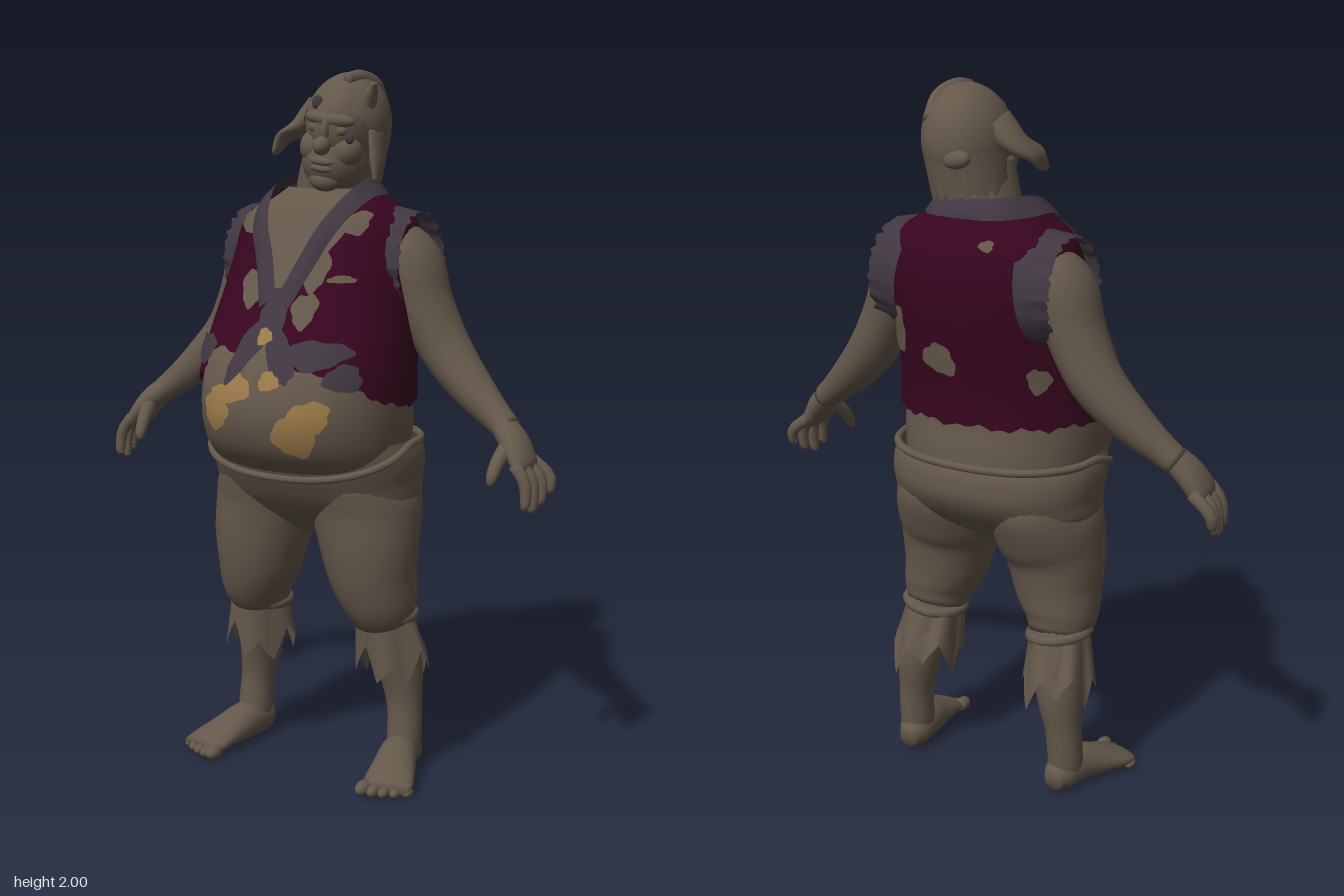
import * as THREE from 'three';
import { mergeVertices } from 'three/addons/utils/BufferGeometryUtils.js';

const V = (x, y, z) => new THREE.Vector3(x, y, z);
const mat = (name, color) => new THREE.MeshStandardMaterial({ name, color, side: THREE.DoubleSide });
const jag = (a) => 0.5 * Math.sin(17 * a + 1) + 0.5 * Math.sin(41 * a);
const TAU = Math.PI * 2;

// Smooth grid surface from a rule fn(u, v); outward is du x dv
function surface(fn, nu, nv) {
  const pos = [], idx = [];
  for (let j = 0; j <= nv; j++) for (let i = 0; i <= nu; i++) pos.push(...fn(i / nu, j / nv).toArray());
  for (let j = 0; j < nv; j++) for (let i = 0; i < nu; i++) {
    const a = j * (nu + 1) + i, b = a + 1, c = a + nu + 1, d = c + 1;
    idx.push(a, b, c, b, d, c);
  }
  let g = new THREE.BufferGeometry();
  g.setAttribute('position', new THREE.Float32BufferAttribute(pos, 3));
  g.setIndex(idx);
  g = mergeVertices(g, 1e-5);
  g.computeVertexNormals();
  return g;
}

// Capped limb through stations [x, y, z, radius across, radius along ref]
function limb(st, side = 1, ref = V(0, 0, 1), nu = 20, nv = 22) {
  const path = new THREE.CatmullRomCurve3(st.map((s) => V(s[0] * side, s[1], s[2])));
  const rad = new THREE.CatmullRomCurve3(st.map((s) => V(s[3], s[4], 0)));
  return surface((u, v) => {
    const t = THREE.MathUtils.clamp((v * nv - 1) / (nv - 2), 0, 1);
    const c = path.getPoint(t);
    if (v === 0 || v === 1) return c;
    const T = path.getTangent(t), r = rad.getPoint(t), f = (u % 1) * TAU;
    const B = ref.clone().addScaledVector(T, -ref.dot(T)).normalize();
    const A = B.clone().cross(T);
    return c.addScaledVector(A, Math.cos(f) * r.x).addScaledVector(B, Math.sin(f) * r.y);
  }, nu, nv);
}

// Cross-sections: y, half width, front z, back z, z of the widest point
const TORSO = [
  [0.88, 0.22, 0.14, -0.22, 0], [0.92, 0.26, 0.2, -0.245, 0], [0.96, 0.28, 0.25, -0.26, 0], [1.02, 0.288, 0.285, -0.26, 0.01],
  [1.1, 0.29, 0.3, -0.25, 0.01], [1.2, 0.285, 0.275, -0.255, 0], [1.3, 0.276, 0.22, -0.27, -0.03],
  [1.4, 0.266, 0.165, -0.285, -0.08], [1.5, 0.255, 0.115, -0.29, -0.11], [1.57, 0.245, 0.08, -0.278, -0.12],
  [1.61, 0.22, 0.06, -0.262, -0.12], [1.64, 0.17, 0.04, -0.248, -0.12], [1.68, 0.11, 0.0, -0.22, -0.11]];
const HIPS = [
  [0.7, 0.03, 0.0, -0.07, -0.04], [0.73, 0.12, 0.05, -0.12, -0.04], [0.8, 0.285, 0.125, -0.22, -0.05], [0.88, 0.305, 0.18, -0.28, -0.05],
  [0.95, 0.308, 0.21, -0.285, -0.04], [1.0, 0.293, 0.225, -0.266, -0.03]];

// Cubic blend between cross-sections
function section(S, y) {
  let i = 0;
  while (i < S.length - 2 && y > S[i + 1][0]) i++;
  const a = S[i], b = S[i + 1], p = S[Math.max(i - 1, 0)], q = S[Math.min(i + 2, S.length - 1)];
  const h = b[0] - a[0], t = THREE.MathUtils.clamp((y - a[0]) / h, 0, 1);
  return [1, 2, 3, 4].map((k) => {
    const m0 = (b[k] - p[k]) / (b[0] - p[0]) * h, m1 = (q[k] - a[k]) / (q[0] - a[0]) * h;
    const t2 = t * t, t3 = t2 * t;
    return (2 * t3 - 3 * t2 + 1) * a[k] + (t3 - 2 * t2 + t) * m0 + (3 * t2 - 2 * t3) * b[k] + (t3 - t2) * m1;
  });
}
const POW = 0.87;
function around(S, ang, y, off = 0) {
  const [rx, zf, zb, cz] = section(S, y), s = Math.sin(ang), c = Math.cos(ang);
  const depth = (c > 0 ? zf - cz : cz - zb) + off;
  return V((rx + off) * Math.sign(s) * Math.abs(s) ** POW, y, cz + depth * Math.sign(c) * Math.abs(c) ** POW);
}
// Point on the torso at a given x and y; face is 1 for front, -1 for back
function onTorso(x, y, off, face = 1) {
  const s = Math.min(1, Math.abs(x) / (section(TORSO, y)[0] + off)) ** (1 / POW);
  const ang = Math.asin(s) * Math.sign(x);
  return around(TORSO, face > 0 ? ang : Math.PI - ang, y, off);
}

// Irregular thin plate lying on the torso
function patch(x, y, a, b, rot, off, face = 1) {
  const seed = x * 37 + y * 11;
  return surface((u, v) => {
    const f = face * (u % 1) * TAU;
    const r = (1 - v) * (1 + 0.12 * Math.sin(3 * f + seed) + 0.06 * Math.sin(7 * f + 2 * seed));
    const p = r * a * Math.cos(f), q = r * b * Math.sin(f);
    return onTorso(x + p * Math.cos(rot) - q * Math.sin(rot), y + p * Math.sin(rot) + q * Math.cos(rot), off, face);
  }, 32, 6);
}

export function createModel() {
  const brown = mat('weathered brown', 0x65584b), maroon = mat('maroon cloth', 0x38051f);
  const slate = mat('slate trim', 0x403740), tan = mat('tan blotch', 0x9c7a4a);
  const model = new THREE.Group();
  const add = (name, geo, m = brown, parent = model) => {
    const mesh = new THREE.Mesh(geo, m);
    mesh.name = name;
    parent.add(mesh);
    return mesh;
  };
  const ball = (name, parent, p, s, m = brown) => {
    const mesh = add(name, new THREE.SphereGeometry(1, 20, 14), m, parent);
    mesh.position.set(...p);
    mesh.scale.set(...s);
  };

  // Torso, trousers seat and waistband
  add('torso', surface((u, v) => around(TORSO, (u % 1) * TAU, 0.88 + 0.8 * v), 56, 48));
  add('trouserSeat', surface((u, v) => around(HIPS, (u % 1) * TAU, 0.7 + 0.295 * v), 48, 20));
  const band = [];
  for (let i = 0; i < 28; i++) {
    const a = i / 28 * TAU;
    band.push(around(HIPS, a, 0.985 - 0.085 * Math.max(0, Math.cos(a)), 0.002));
  }
  add('waistband', new THREE.TubeGeometry(new THREE.CatmullRomCurve3(band, true), 80, 0.011, 8, true));

  // Sleeveless vest with an open neck and a ragged hem
  add('vest', surface((u, v) => {
    const hem = 1.1 + 0.13 * Math.max(0, Math.cos(u * TAU)) ** 1.3 + 0.01 * jag(u * 5);
    const y = hem + (1.67 - hem) * v, half = Math.max(0, y - 1.4) * 3.2;
    return around(TORSO, half + u * (TAU - 2 * half), y, 0.012);
  }, 110, 40), maroon);

  // Worn holes, cloth patches and belly blotches: x, y, half sizes, turn, face
  [[-0.165, 1.59, 0.035, 0.035, 0.3], [0.165, 1.595, 0.035, 0.03, 0], [0.09, 1.48, 0.04, 0.06, 0.2], [-0.085, 1.42, 0.04, 0.05, 0],
    [0.09, 1.37, 0.035, 0.045, 0], [0.165, 1.45, 0.035, 0.01, 0], [-0.13, 1.21, 0.07, 0.05, 0.3], [0.0, 1.26, 0.07, 0.06, 0],
    [0.13, 1.19, 0.07, 0.03, -0.3], [0.2, 1.33, 0.032, 0.07, 0.2, -1], [0.045, 1.28, 0.055, 0.042, 0.3, -1],
    [-0.1, 1.6, 0.02, 0.014, 0, -1], [-0.22, 1.24, 0.025, 0.035, 0, -1],
  ].forEach((p) => add('wornHole', patch(...p.slice(0, 5), 0.017, p[5])));
  [[-0.215, 1.25, 0.05, 0.038, 0], [0.155, 1.26, 0.075, 0.038, 0], [0.225, 1.2, 0.04, 0.035, -0.4],
    [0.005, 1.36, 0.04, 0.06, 0], [-0.045, 1.265, 0.033, 0.095, -0.5], [0.05, 1.265, 0.033, 0.1, 0.5],
  ].forEach((p) => add('slatePatch', patch(...p, 0.021), slate));
  [[-0.09, 1.16, 0.07, 0.045, 0.2], [-0.135, 1.09, 0.048, 0.05, 0], [0.115, 1.05, 0.055, 0.07, -0.5], [0.155, 1.1, 0.05, 0.042, 0],
    [0.045, 1.19, 0.03, 0.025, 0], [0, 1.3, 0.022, 0.022, 0],
  ].forEach((p, i) => add('bellyBlotch', patch(...p, i < 4 ? 0.006 + 0.001 * i : 0.024), tan));

  for (const side of [1, -1]) {
    // Collar from the tie round the back of the neck
    const inner = new THREE.CatmullRomCurve3([onTorso(0.002, 1.4, 0.02), onTorso(0.04, 1.5, 0.022), onTorso(0.085, 1.6, 0.03),
      V(0.125, 1.69, -0.03), V(0.118, 1.71, -0.13), V(0.07, 1.71, -0.205), V(0, 1.71, -0.225)]);
    const outer = new THREE.CatmullRomCurve3([onTorso(0.045, 1.37, 0.02), onTorso(0.09, 1.48, 0.022), onTorso(0.135, 1.58, 0.03),
      V(0.168, 1.655, -0.04), V(0.158, 1.66, -0.15), V(0.1, 1.66, -0.24), V(0, 1.66, -0.258)]);
    add('collar', surface((u, v) => {
      const p = inner.getPoint(u).lerp(outer.getPoint(u), v);
      p.z += 0.008 * Math.sin(v * Math.PI) * (u < 0.5 ? 1 : -1);
      p.x *= side;
      return p;
    }, 40, 4), slate);

    // Ragged armhole trim, wide on the vest and closing on the arm
    add('armholeTrim', surface((u, v) => {
      const a = (u % 1) * TAU, r = 1.2 - 0.16 * v + 0.05 * v * jag(u * 6);
      return V(side * (0.185 + 0.095 * v + 0.012 * v * jag(u * 9) - 0.02 * Math.sin(a) * (1 - v)),
        1.475 + 0.135 * r * Math.sin(a), -0.128 + side * 0.128 * r * Math.cos(a));
    }, 60, 5), slate);

    // Arm, palm and fingers
    add('arm', limb([[0.19, 1.53, -0.13, 0.075, 0.09], [0.245, 1.475, -0.13, 0.086, 0.108], [0.287, 1.37, -0.132, 0.076, 0.098],
      [0.35, 1.25, -0.135, 0.071, 0.082], [0.44, 1.15, -0.118, 0.06, 0.066], [0.53, 1.075, -0.098, 0.043, 0.046],
      [0.57, 1.045, -0.088, 0.037, 0.044]], side));
    add('palm', limb([[0.55, 1.062, -0.09, 0.034, 0.04], [0.598, 1.015, -0.07, 0.036, 0.056], [0.632, 0.965, -0.055, 0.028, 0.063],
      [0.642, 0.945, -0.052, 0.016, 0.055]], side));
    for (let i = 0; i < 4; i++) {
      const z = -0.108 + i * 0.035, drop = [0.06, 0.085, 0.1, 0.085][i], out = [0.022, 0.012, 0.004, 0][i];
      add('finger', limb([[0.628, 0.97, z, 0.018, 0.018], [0.66 + out, 0.925, z * 1.1 + 0.005, 0.017, 0.017],
        [0.664 + out, 0.95 - drop, z * 1.1 + 0.012, 0.014, 0.014], [0.656 + out, 0.943 - drop, z * 1.1 + 0.014, 0.006, 0.006]],
      side, undefined, 10, 10));
    }
    add('thumb', limb([[0.59, 1.02, -0.05, 0.022, 0.024], [0.58, 0.975, 0.0, 0.02, 0.02], [0.575, 0.935, 0.028, 0.016, 0.016],
      [0.573, 0.915, 0.035, 0.007, 0.007]], side, undefined, 10, 10));

    // Trouser leg, cuff roll and torn edge
    add('trouserLeg', limb([[0.15, 0.93, -0.05, 0.1, 0.14], [0.153, 0.86, -0.052, 0.138, 0.195], [0.16, 0.79, -0.045, 0.152, 0.178],
      [0.175, 0.7, -0.03, 0.143, 0.15], [0.188, 0.6, -0.032, 0.126, 0.133], [0.205, 0.52, -0.045, 0.106, 0.116],
      [0.208, 0.465, -0.06, 0.088, 0.093]], side, undefined, 28, 26));
    const cuff = add('cuffRoll', new THREE.TorusGeometry(0.083, 0.016, 8, 28));
    cuff.position.set(side * 0.21, 0.465, -0.065);
    cuff.rotation.set(Math.PI / 2, side * 0.15, 0);
    add('tornCuff', surface((u, v) => {
      const a = (u % 1) * TAU, r = 0.084 + 0.02 * v + 0.006 * Math.sin(5 * a);
      const drop = v * (0.1 + 0.075 * Math.abs((u * 7) % 1 * 2 - 1) + 0.025 * Math.sin(3 * a));
      return V(side * (0.211 + 0.012 * v) + r * Math.sin(a), 0.46 - drop, -0.07 - 0.025 * v + r * Math.cos(a));
    }, 56, 5));

    // Shin, foot and toes
    add('shin', limb([[0.212, 0.48, -0.07, 0.075, 0.08], [0.225, 0.37, -0.1, 0.072, 0.08], [0.24, 0.28, -0.113, 0.062, 0.068],
      [0.252, 0.18, -0.112, 0.05, 0.054], [0.256, 0.1, -0.105, 0.05, 0.055], [0.257, 0.04, -0.1, 0.045, 0.055]], side));
    add('foot', limb([[0.25, 0.04, -0.17, 0.025, 0.03], [0.252, 0.05, -0.13, 0.048, 0.05], [0.262, 0.056, -0.06, 0.054, 0.056],
      [0.285, 0.042, 0.02, 0.064, 0.042], [0.305, 0.027, 0.09, 0.072, 0.027], [0.312, 0.022, 0.12, 0.066, 0.018]], side, V(0, 1, 0)));
    for (let i = 0; i < 5; i++) {
      const r = i ? 0.017 - 0.001 * i : 0.021;
      ball('toe', model, [side * (0.252 + 0.029 * i), r, 0.136 - 0.003 * i * i], [r, r, r * 1.6]);
    }
  }

  // Neck and tilted head
  add('neck', limb([[0, 1.58, -0.12, 0.12, 0.11], [0.005, 1.67, -0.115, 0.1, 0.11], [0.03, 1.78, -0.11, 0.09, 0.12]]));
  const head = new THREE.Group();
  head.name = 'head';
  head.position.set(0.048, 1.83, -0.1);
  head.rotation.set(0.05, 0.08, -0.13);
  model.add(head);
  ball('skull', head, [0, 0.02, -0.005], [0.102, 0.135, 0.137]);
  ball('jaw', head, [0, -0.075, 0.04], [0.09, 0.088, 0.098]);
  ball('brow', head, [0, 0.045, 0.1], [0.075, 0.024, 0.032]);
  ball('nose', head, [0, -0.025, 0.138], [0.024, 0.026, 0.029]);
  ball('noseBridge', head, [0, 0.015, 0.122], [0.014, 0.04, 0.02]);
  ball('upperLip', head, [0, -0.068, 0.128], [0.036, 0.013, 0.016]);
  ball('lowerLip', head, [0, -0.088, 0.126], [0.034, 0.012, 0.016]);
  ball('chin', head, [0, -0.122, 0.1], [0.045, 0.032, 0.032]);
  ball('bruise', head, [-0.04, 0.083, 0.104], [0.016, 0.02, 0.009], slate);
  ball('bruise', head, [0.066, 0.0, 0.106], [0.013, 0.014, 0.009], slate);
  for (const side of [1, -1]) {
    ball('eye', head, [side * 0.038, 0.018, 0.112], [0.02, 0.014, 0.013]);
    ball('cheek', head, [side * 0.045, -0.04, 0.072], [0.046, 0.05, 0.052]);
  }

  // Head wrap with ragged rim, knot and loose ends
  const wrap = add('headWrap', surface((u, v) => {
    const a = (u % 1) * TAU, t = (1 - v) * (1.75 + 0.05 * jag(u * 5));
    return V(0.117 * Math.sin(t) * Math.sin(a), 0.158 * Math.cos(t), 0.15 * Math.sin(t) * Math.cos(a));
  }, 56, 18), brown, head);
  wrap.position.set(0, 0.008, -0.02);
  wrap.rotation.x = -0.72;
  // Lower skirt of the wrap hanging behind the neck
  add('wrapSkirt', surface((u, v) => {
    const a = Math.PI * (0.5 + u), drop = 0.11 + 0.015 * jag(u * 3);
    return V((0.113 - 0.008 * v) * Math.sin(a), -0.02 - drop * v, -0.03 + (0.138 - 0.025 * v) * Math.cos(a));
  }, 32, 5), brown, head);
  ball('wrapKnot', head, [-0.03, -0.03, -0.155], [0.04, 0.025, 0.022]);
  add('wrapTail', limb([[-0.04, 1.89, -0.12, 0.045, 0.05], [-0.09, 1.845, -0.11, 0.03, 0.05], [-0.13, 1.81, -0.07, 0.014, 0.04],
    [-0.138, 1.77, -0.03, 0.006, 0.012]]));
  add('wrapStrand', limb([[0.15, 1.83, -0.1, 0.014, 0.04], [0.162, 1.76, -0.08, 0.014, 0.032], [0.17, 1.7, -0.06, 0.006, 0.012]]));
  add('wrapRidge', limb([[0.1, 1.9, -0.235, 0.015, 0.02], [0.1, 1.95, -0.18, 0.02, 0.03], [0.09, 1.975, -0.11, 0.02, 0.025],
    [0.085, 1.975, -0.05, 0.012, 0.015]], 1, V(0, 1, 0)));
  add('wrapCorner', limb([[0.13, 1.9, -0.08, 0.025, 0.03], [0.15, 1.94, -0.07, 0.016, 0.024], [0.165, 1.965, -0.06, 0.005, 0.01]]));
  return model;
}
